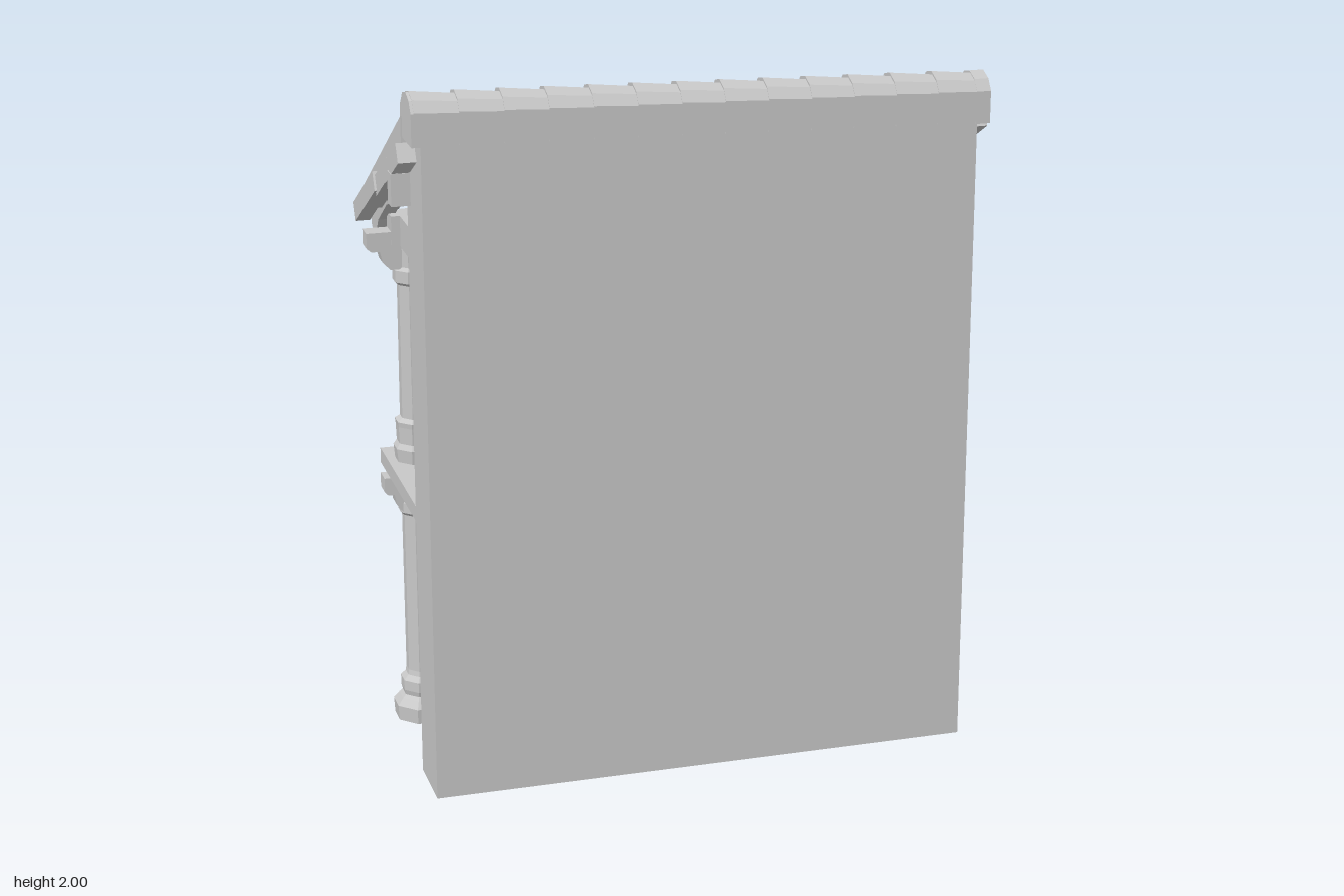
import * as THREE from 'three';

const stone = new THREE.MeshStandardMaterial({ color: 0xc8c8c8 });
stone.name = 'pale grey';

export function createModel() {
  const root = new THREE.Group();
  root.name = 'balconyFacade';
  const house = new THREE.Group();
  house.name = 'house';
  house.rotation.y = -0.15;
  root.add(house);

  // Faceted mesh
  function add(name, geo, parent = house) {
    const g = geo.index ? geo.toNonIndexed() : geo;
    g.computeVertexNormals();
    const m = new THREE.Mesh(g, stone);
    m.name = name;
    parent.add(m);
    return m;
  }
  // Box given by its limits
  function box(name, x0, x1, y0, y1, z0, z1, parent) {
    const m = add(name, new THREE.BoxGeometry(x1 - x0, y1 - y0, z1 - z0), parent);
    m.position.set((x0 + x1) / 2, (y0 + y1) / 2, (z0 + z1) / 2);
    return m;
  }
  const shape = (pts) => new THREE.Shape(pts.map((p) => new THREE.Vector2(p[0], p[1])));
  // Profile of [z, y] points extruded from x0 to x1
  function prism(pts, x0, x1) {
    const g = new THREE.ExtrudeGeometry(shape(pts), { depth: x1 - x0, bevelEnabled: false });
    return g.rotateY(-Math.PI / 2).translate(x1, 0, 0);
  }
  function lathe(pts, sides = 8) {
    const g = new THREE.LatheGeometry(pts.map((p) => new THREE.Vector2(p[0], p[1])), sides);
    return g.rotateY(Math.PI / sides);
  }

  const L = -0.783, R = 0.76, wallBack = 0.18, wallFront = 0.371, colZ = -0.198;
  const columns = [-0.70, -0.265, 0.235, 0.669];
  const ends = [columns[0], columns[3]];

  // Wall with a gently sloping top
  add('wall', new THREE.ExtrudeGeometry(
    shape([[L, 0], [R, 0], [R, 1.86], [L, 1.9]]),
    { depth: wallFront - wallBack, bevelEnabled: false }).translate(0, 0, wallBack));

  // Balcony floor and the beams below it
  box('balconyFloor', L, R + 0.003, 0.755, 0.80, -0.307, wallBack);
  for (const x of columns) box('floorBeam', x - 0.035, x + 0.035, 0.695, 0.755, colZ, wallBack);

  // Scrolled corbels on the wall
  const corbel = [[0.18, 0.515], [0.18, 0.70], [0.01, 0.70], [0.012, 0.668], [0.03, 0.655], [0.05, 0.655],
    [0.058, 0.63], [0.085, 0.61], [0.11, 0.61], [0.122, 0.56], [0.145, 0.525], [0.165, 0.515]];
  for (const x of [columns[0], columns[1], columns[3]]) {
    add('corbel', prism(corbel.slice().reverse(), x - 0.03, x + 0.03));
  }

  // Columns: lower order, upper order and stepped bracket arms
  const lower = [[0, 0], [0.084, 0], [0.087, 0.045], [0.07, 0.065], [0.06, 0.075], [0.064, 0.09], [0.064, 0.12],
    [0.05, 0.135], [0.047, 0.15], [0.047, 0.635], [0.058, 0.645], [0.058, 0.675], [0.05, 0.685], [0.05, 0.757]];
  const upper = [[0.062, 0.80], [0.066, 0.84], [0.056, 0.855], [0.058, 0.905], [0.06, 0.92], [0.045, 0.93],
    [0.043, 1.325], [0.055, 1.335], [0.055, 1.37], [0.046, 1.38], [0.046, 1.53], [0, 1.53]];
  function arms(parent, y, h, reach) {
    const side = [[0, 0], [0, h], [reach, h], [reach, h * 0.6], [reach * 0.9, h * 0.5],
      [reach * 0.72, h * 0.5], [reach * 0.66, h * 0.2], [reach * 0.5, 0]];
    for (const turn of [Math.PI / 2, Math.PI, -Math.PI / 2]) {
      const arm = add('bracketArm', prism(side, -0.028, 0.028), parent);
      arm.position.y = y;
      arm.rotation.y = turn;
    }
  }
  for (const x of columns) {
    const col = new THREE.Group();
    col.name = 'column';
    col.position.set(x, 0, colZ);
    house.add(col);
    add('lowerShaft', lathe(lower), col);
    add('upperShaft', lathe(upper), col);
    arms(col, 0.65, 0.105, 0.10);
    arms(col, 1.375, 0.11, 0.13);
  }

  // Beams above the columns
  box('eaveBeam', -0.76, 0.73, 1.44, 1.53, colZ - 0.03, colZ + 0.03);
  for (const x of ends) box('tieBeam', x - 0.035, x + 0.035, 1.44, 1.53, colZ, wallBack);

  // Railings: kerb panel, rail, balusters and finial posts along a run of given length
  const baluster = [[0.008, 0.92], [0.013, 0.94], [0.007, 0.955], [0.01, 0.975]];
  const finial = [[0.01, 0.92], [0.01, 1.0], [0.016, 1.012], [0.012, 1.028], [0.015, 1.036], [0, 1.05]];
  function railing(x, z, length, turn) {
    const run = new THREE.Group();
    run.name = 'railing';
    run.position.set(x, 0, z);
    run.rotation.y = turn;
    house.add(run);
    box('kerbPanel', 0, length, 0.80, 0.92, -0.016, 0.016, run);
    box('handRail', 0, length, 0.965, 0.998, -0.016, 0.016, run);
    const n = 8;
    for (let i = 1; i < n; i++) {
      const post = add(i % 2 ? 'baluster' : 'finialPost', lathe(i % 2 ? baluster : finial, 6), run);
      post.position.x = (i / n) * length;
    }
  }
  for (let i = 0; i < 3; i++) railing(columns[i], colZ, columns[i + 1] - columns[i], 0);
  for (const x of ends) railing(x, wallBack, wallBack - colZ, Math.PI / 2);

  // Tiled roof: cross-sections along x, with a raised cover tile in each bay
  const x0 = -0.812, x1 = 0.8, bays = 18, pos = [], idx = [];
  const bump = [[0, 0], [0.3, 0], [0.36, 0.022], [0.5, 0.034], [0.8, 0.034], [0.94, 0.022]];
  const steps = [];
  for (let b = 0; b < bays; b++) {
    for (const [t, h] of bump) steps.push([x0 + ((b + t) / bays) * (x1 - x0), h]);
  }
  steps.push([x1, 0]);
  for (const [x, h] of steps) {
    const drop = 0.03 * x;
    pos.push(x, 1.49 + h * 0.5, -0.378, x, 1.535 + h, -0.378, x, 1.90 - drop + h, 0.26, x, 1.80 - drop, 0.26);
  }
  const last = (steps.length - 1) * 4;
  for (let i = 0; i < last; i += 4) {
    for (let j = 0; j < 4; j++) {
      const a = i + j, b = i + ((j + 1) % 4);
      idx.push(a, b, b + 4, a, b + 4, a + 4);
    }
  }
  idx.push(0, 2, 1, 0, 3, 2, last, last + 1, last + 2, last, last + 2, last + 3);
  const roof = new THREE.BufferGeometry();
  roof.setAttribute('position', new THREE.Float32BufferAttribute(pos, 3));
  roof.setIndex(idx);
  add('tiledRoof', roof);

  // Stepped edge tiles down each roof end
  const slope = Math.atan(0.5);
  for (const x of [-0.805, 0.785]) {
    for (let i = 0; i < 4; i++) {
      const z = 0.215 - i * 0.165;
      const tile = add('edgeTile', new THREE.BoxGeometry(0.055 - (i % 2) * 0.012, 0.055, 0.2));
      tile.position.set(x, 1.49 + 0.49 * (z + 0.375) - x * 0.01, z);
      tile.rotation.x = -slope - 0.05;
    }
    box('purlinEnd', x - 0.03, x + 0.03, 1.67, 1.76, 0.18, 0.225);
  }

  // Rafter tails under the eave
  const tail = [[-0.35, 1.465], [-0.35, 1.52], [-0.12, 1.63], [-0.12, 1.58], [-0.25, 1.5], [-0.28, 1.455], [-0.32, 1.44]];
  for (let i = 0; i < 13; i++) {
    const x = -0.76 + i * 0.1245;
    add('rafterTail', prism(tail.slice().reverse(), x - 0.02, x + 0.02));
  }

  // Ridge of overlapping cap tiles
  const cap = [[0.377, -0.02], [0.377, 0.07], [0.355, 0.1], [0.315, 0.115], [0.275, 0.105], [0.245, 0.07], [0.235, -0.02]];
  const ridge = new THREE.Group();
  ridge.name = 'ridge';
  ridge.position.y = 1.885;
  house.add(ridge);
  const count = 13, step = (0.765 + 0.8) / count;
  for (let i = 0; i < count; i++) {
    const g = prism(cap, 0, step + 0.006);
    const p = g.attributes.position;
    for (let k = 0; k < p.count; k++) {
      // Each tile narrows towards its right end
      const s = 1 - 0.1 * (p.getX(k) / step);
      p.setY(k, p.getY(k) * s);
      p.setZ(k, 0.377 + (p.getZ(k) - 0.377) * s);
    }
    const tile = add('ridgeTile', g, ridge);
    tile.position.set(-0.8 + i * step, -0.021 - 0.03 * (-0.8 + i * step) + 0.001, 0);
  }
  add('ridgeEndCap', prism(cap, 0.755, 0.795), ridge).position.y = -0.045;
  add('ridgeStartCap', prism(cap, -0.808, -0.78), ridge).position.y = 0.002;

  return root;
}
